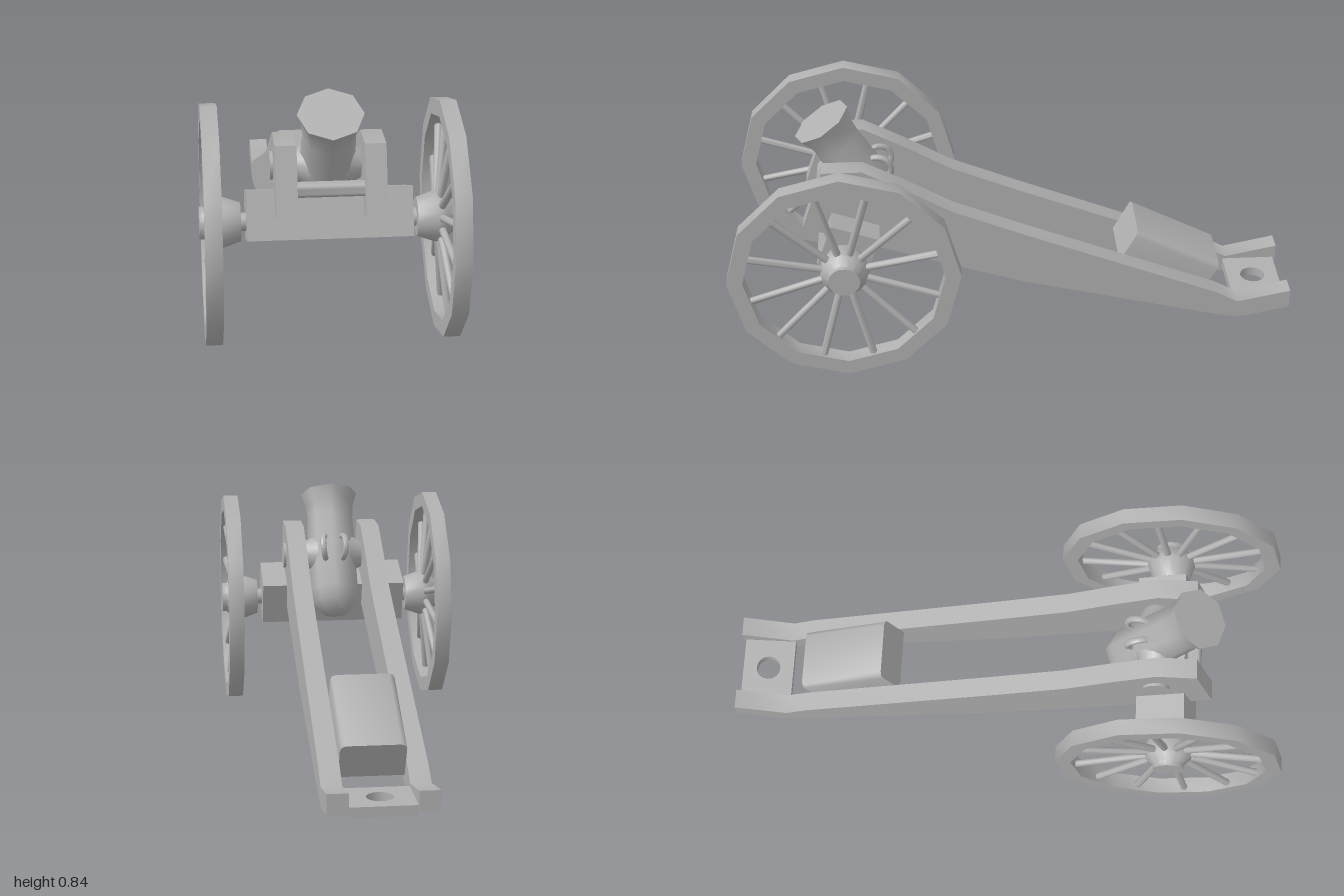
import * as THREE from 'three';
import { toCreasedNormals } from 'three/addons/utils/BufferGeometryUtils.js';

const metal = new THREE.MeshStandardMaterial({ color: 0xb0b0b0 });
metal.name = 'plain grey';

function add(parent, name, geometry, x = 0, y = 0, z = 0) {
  const mesh = new THREE.Mesh(toCreasedNormals(geometry, 0.85), metal);
  mesh.name = name;
  mesh.position.set(x, y, z);
  parent.add(mesh);
  return mesh;
}

// side profile of [z, y] points, extruded across x and centred
function sideExtrude(points, width) {
  const shape = new THREE.Shape(points.map(([z, y]) => new THREE.Vector2(z, y)));
  const g = new THREE.ExtrudeGeometry(shape, { depth: width, bevelEnabled: false });
  return g.translate(0, 0, -width / 2).rotateY(-Math.PI / 2);
}

const polygon = (r, n) => Array.from({ length: n }, (_, i) => {
  const a = (i / n) * Math.PI * 2;
  return new THREE.Vector2(r * Math.cos(a), r * Math.sin(a));
});

const lathe = (points, sides) =>
  new THREE.LatheGeometry(points.map(([r, y]) => new THREE.Vector2(r, y)), sides);

const rod = (r, length, sides = 16) =>
  new THREE.CylinderGeometry(r, r, length, sides).rotateZ(Math.PI / 2);

// wheel on the +x side, measured from the model's centre line
function makeWheel(name) {
  const wheel = new THREE.Group();
  wheel.name = name;
  const rim = new THREE.Shape(polygon(0.4, 12));
  rim.holes.push(new THREE.Path(polygon(0.345, 12)));
  const rimGeo = new THREE.ExtrudeGeometry(rim, { depth: 0.055, bevelEnabled: false });
  add(wheel, 'rim', rimGeo.rotateY(Math.PI / 2), 0.36);
  // hub with end cap
  add(wheel, 'hub', lathe([[0, 0.29], [0.065, 0.29], [0.087, 0.355], [0.08, 0.385],
    [0.055, 0.408], [0.055, 0.425], [0, 0.425]], 14).rotateZ(-Math.PI / 2));
  // dished spokes
  for (let i = 0; i < 12; i++) {
    const a = ((i + 0.5) / 12) * Math.PI * 2;
    const at = (x, r) => new THREE.Vector3(x, r * Math.sin(a), r * Math.cos(a));
    const path = new THREE.LineCurve3(at(0.365, 0.05), at(0.396, 0.35));
    add(wheel, 'spoke', new THREE.TubeGeometry(path, 1, 0.013, 8));
  }
  wheel.position.set(0, 0.4, 0.6);
  return wheel;
}

export function createModel() {
  const model = new THREE.Group();
  model.name = 'fieldGun';

  // wheels and axle
  const left = makeWheel('leftWheel');
  const right = makeWheel('rightWheel');
  right.rotation.y = Math.PI;
  model.add(left, right);
  add(model, 'axleShaft', rod(0.03, 0.62), 0, 0.4, 0.6);
  add(model, 'axleBeam', new THREE.BoxGeometry(0.544, 0.165, 0.175), 0, 0.418, 0.588)
    .rotation.x = -0.35;

  // carriage cheeks running back into the trail
  const cheek = [[0.745, 0.465], [0.67, 0.685], [0.53, 0.685], [0.39, 0.61], [0.22, 0.51],
    [-0.03, 0.405], [-0.73, 0.125], [-0.81, 0.08], [-1, 0.12], [-1, 0.05], [-0.84, 0.015],
    [-0.79, 0.015], [-0.72, 0.03], [-0.02, 0.205], [0.25, 0.295]];
  for (const s of [1, -1]) {
    add(model, s > 0 ? 'leftCheek' : 'rightCheek', sideExtrude(cheek, 0.07), s * 0.145);
  }
  add(model, 'frontCrossbar', rod(0.026, 0.24), 0, 0.535, 0.675);

  // chest between the cheeks, with softened long edges
  const c = 0.02, w = 0.11, h = 0.07;
  const chest = new THREE.Shape([[-w, -h], [w, -h], [w, h - c], [w - 0.006, h - 0.006],
    [w - c, h], [c - w, h], [0.006 - w, h - 0.006], [-w, h - c]]
    .map(([x, y]) => new THREE.Vector2(x, y)));
  const chestGeo = new THREE.ExtrudeGeometry(chest, { depth: 0.342, bevelEnabled: false });
  add(model, 'trailChest', chestGeo.translate(0, 0, -0.171), 0, 0.21, -0.563)
    .rotation.x = -0.48;

  // tow plate with a round hole
  const plate = new THREE.Shape([[-0.11, -0.095], [0.11, -0.095], [0.11, 0.095], [-0.11, 0.095]]
    .map(([x, y]) => new THREE.Vector2(x, y)));
  plate.holes.push(new THREE.Path(polygon(0.045, 16)));
  const plateGeo = new THREE.ExtrudeGeometry(plate, { depth: 0.035, bevelEnabled: false });
  add(model, 'towPlate', plateGeo.rotateX(-Math.PI / 2), 0, 0.035, -0.895);

  // barrel, pivoting on its trunnions
  const gun = new THREE.Group();
  gun.name = 'barrelAssembly';
  gun.position.set(0, 0.573, 0.54);
  gun.rotation.x = 0.54;
  model.add(gun);
  add(gun, 'barrel', lathe([[0, -0.25], [0.05, -0.24], [0.082, -0.2], [0.092, -0.15],
    [0.092, 0.03], [0.088, 0.15], [0.092, 0.2], [0.109, 0.25], [0, 0.25]], 8));
  add(gun, 'trunnions', rod(0.047, 0.38));
  for (const s of [1, -1]) {
    const base = new THREE.CylinderGeometry(0.05, 0.075, 0.05, 16).rotateZ(-s * Math.PI / 2);
    add(gun, 'trunnionBase', base, s * 0.085);
    // lifting handle
    const arc = new THREE.TorusGeometry(0.045, 0.011, 8, 12, Math.PI).rotateY(Math.PI / 2);
    const handle = add(gun, 'liftingHandle', arc.rotateX(-Math.PI / 2), s * 0.032, 0, -0.075);
    handle.rotation.y = s * -0.25;
  }
  return model;
}
